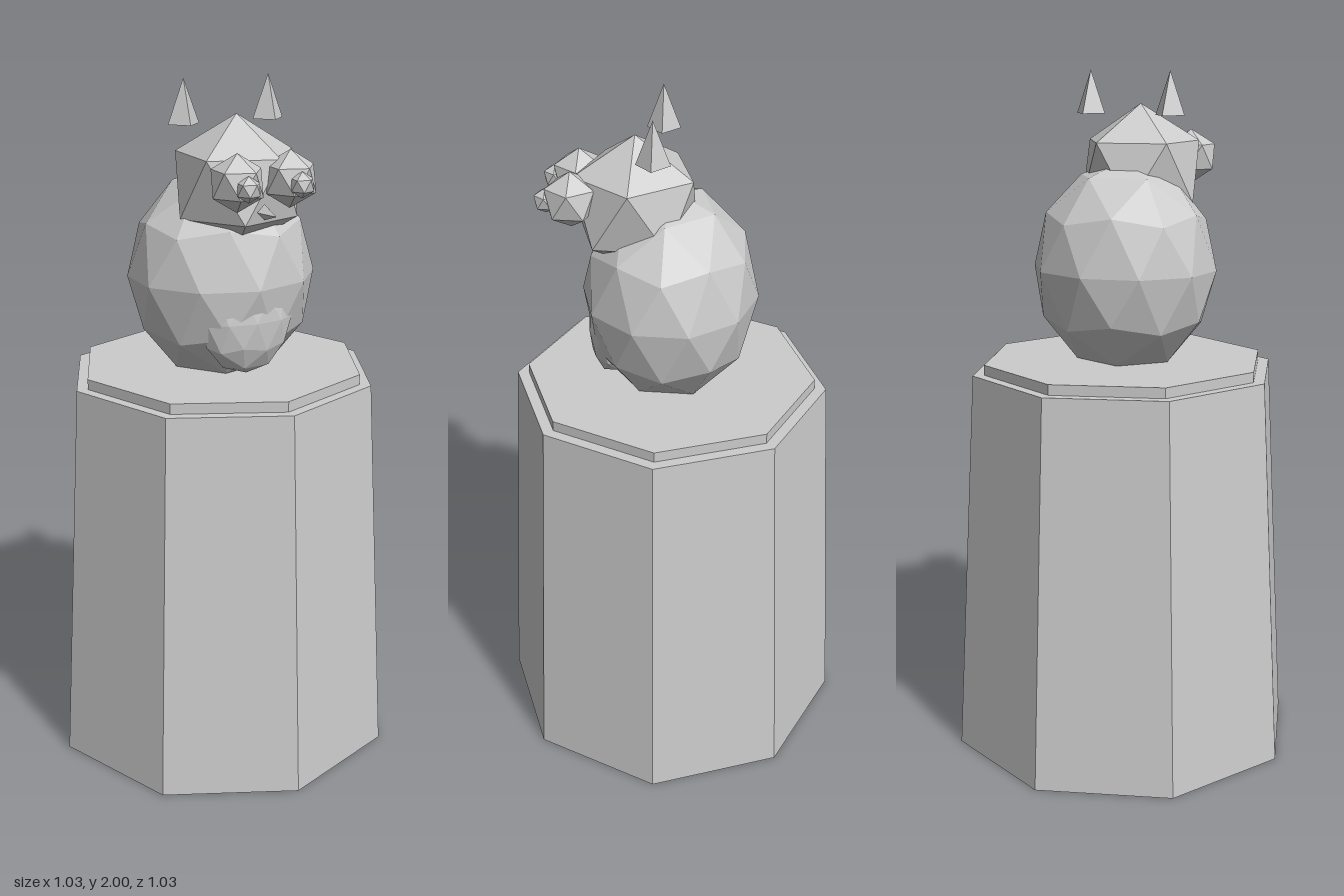
import * as THREE from 'three';

const stone = new THREE.MeshStandardMaterial({ color: 0xcccccc, flatShading: true });
stone.name = 'pale grey';

// Icosphere with its poles on the y axis and an upper ring corner toward +x
function icosphere(rx, ry, rz, detail) {
  const geo = new THREE.IcosahedronGeometry(1, detail);
  geo.rotateX(-Math.atan((1 + Math.sqrt(5)) / 2));
  geo.rotateY(Math.PI / 2);
  geo.scale(rx, ry, rz);
  geo.computeVertexNormals();
  return geo;
}

export function createModel() {
  const owl = new THREE.Group();
  owl.name = 'owlOnStump';

  const add = (name, geometry, x, y, z) => {
    const mesh = new THREE.Mesh(geometry, stone);
    mesh.name = name;
    mesh.position.set(x, y, z);
    owl.add(mesh);
    return mesh;
  };

  // Eight-sided tapering stump and the thin disc on top
  add('stump', new THREE.CylinderGeometry(0.455, 0.517, 1.14, 8), 0, 0.57, 0);
  add('stumpTop', new THREE.CylinderGeometry(0.421, 0.421, 0.03, 8), 0, 1.155, 0);

  // Body, belly patch and head
  add('body', icosphere(0.275, 0.3125, 0.25, 1), 0, 1.4375, 0);
  add('belly', icosphere(0.14, 0.16, 0.07, 1), 0, 1.34, 0.165);
  add('head', icosphere(0.193, 0.193, 0.193, 0), 0, 1.712, 0.096);

  // Beak pointing forward
  const beak = add('beak', new THREE.ConeGeometry(0.022, 0.07, 4), 0, 1.662, 0.302);
  beak.rotation.x = Math.PI / 2;

  // Eyes, pupils and ear tufts on both sides
  for (const [side, s] of [['left', 1], ['right', -1]]) {
    add(side + 'Eye', icosphere(0.08, 0.08, 0.08, 0), s * 0.08, 1.746, 0.262);
    add(side + 'Pupil', icosphere(0.036, 0.036, 0.036, 0), s * 0.08, 1.74, 0.33);
    add(side + 'EarTuft', new THREE.ConeGeometry(0.047, 0.124, 4), s * 0.13, 1.938, 0.032);
  }

  return owl;
}
